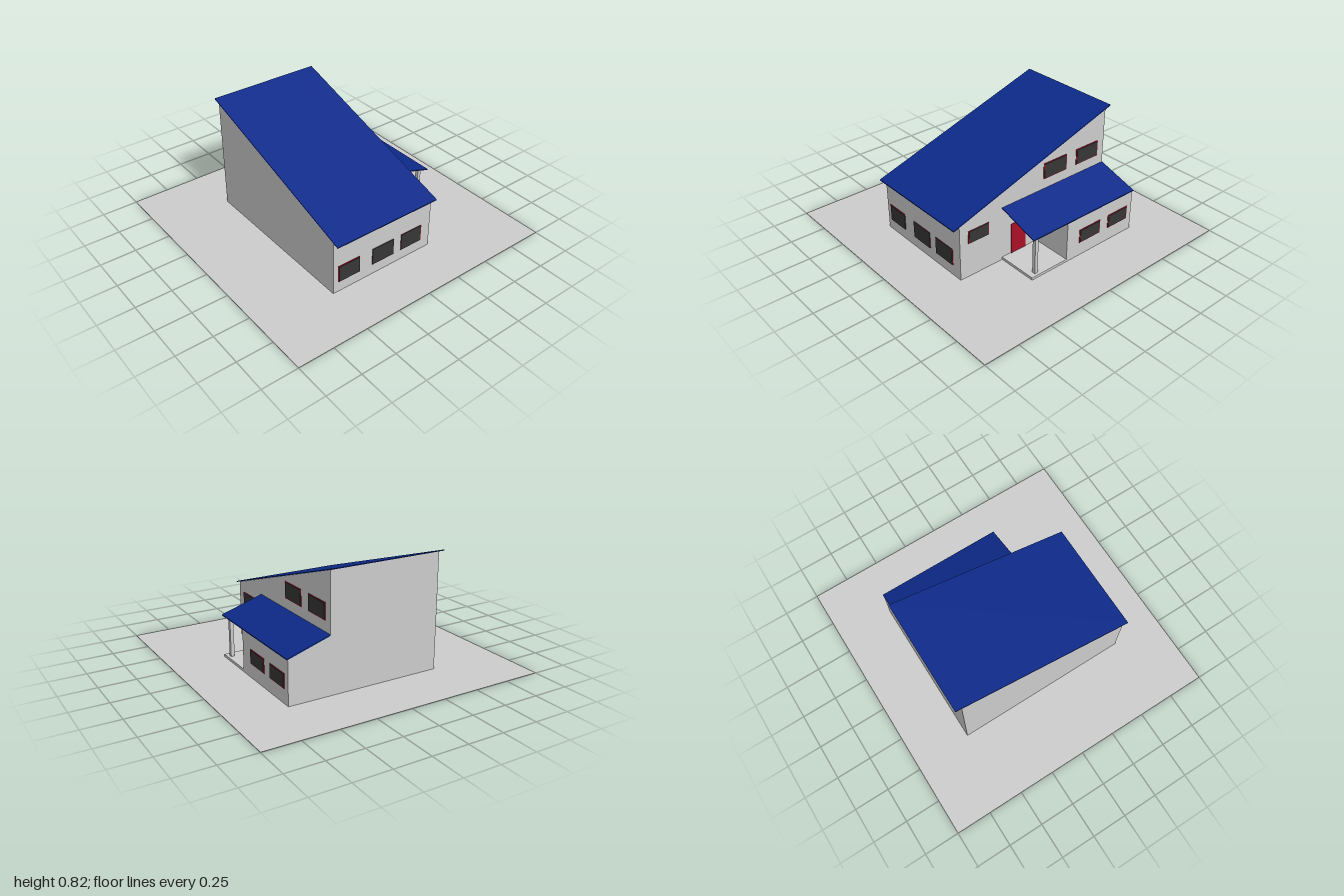
import * as THREE from 'three';

const mat = (name, color) => Object.assign(new THREE.MeshStandardMaterial({ color }), { name });

export function createModel() {
  const grey = mat('pale grey', 0xcccccc);
  const blue = mat('roof blue', 0x0d2a8a);
  const red = mat('trim red', 0xaa1026);
  const dark = mat('window grey', 0x363636);
  const model = new THREE.Group();
  model.name = 'house';

  const add = (parent, name, geo, material) => {
    const mesh = new THREE.Mesh(geo, material);
    mesh.name = name;
    parent.add(mesh);
    return mesh;
  };
  // Box given by its lower and upper limits on each axis
  const box = (parent, name, material, [x0, x1], [y0, y1], [z0, z1]) => {
    const mesh = add(parent, name, new THREE.BoxGeometry(x1 - x0, y1 - y0, z1 - z0), material);
    mesh.position.set((x0 + x1) / 2, (y0 + y1) / 2, (z0 + z1) / 2);
    return mesh;
  };
  const extrude = (points, depth) => new THREE.ExtrudeGeometry(
    new THREE.Shape(points.map(([a, b]) => new THREE.Vector2(a, b))), { depth, bevelEnabled: false });
  // Profile in (x, y), extruded from z0 to z1
  const alongZ = (name, material, points, z0, z1) =>
    add(model, name, extrude(points, z1 - z0).translate(0, 0, z0), material);
  // Profile in (z, y), extruded from x0 to x1
  const alongX = (name, material, points, x0, x1) =>
    add(model, name, extrude(points.map(([z, y]) => [-z, y]), x1 - x0)
      .rotateY(Math.PI / 2).translate(x0, 0, 0), material);

  box(model, 'ground', grey, [-1, 1], [0, 0.002], [-1, 1]);

  // Main block under a single-pitch roof
  alongX('mainWalls', grey, [[0.64, 0], [0.64, 0.4], [-0.605, 0.801], [-0.605, 0]], -0.475, 0.325);
  alongX('mainRoof', blue, [[0.685, 0.387], [0.685, 0.394], [-0.65, 0.823], [-0.65, 0.816]], -0.478, 0.328);

  // Side wing, porch and lean-to roof
  alongZ('wingWalls', grey, [[0.325, 0], [0.615, 0], [0.615, 0.303], [0.325, 0.394]], -0.605, 0);
  alongZ('wingRoof', blue, [[0.325, 0.394], [0.622, 0.301], [0.622, 0.308], [0.325, 0.401]], -0.608, 0.3);
  box(model, 'porchFloor', grey, [0.325, 0.615], [0, 0.02], [0, 0.3]);
  box(model, 'porchPost', grey, [0.57, 0.595], [0.02, 0.314], [0.234, 0.259]);
  box(model, 'door', red, [0.325, 0.33], [0.02, 0.245], [0.1, 0.225]);

  // Front windows: dark panes with red showing only on some edges
  const fronts = [[-0.44, -0.27, 0.007, 0, 0.006], [-0.165, 0.01, 0, 0, 0], [0.075, 0.25, 0, 0.007, 0]];
  for (const [x0, x1, left, right, top] of fronts) {
    const win = new THREE.Group();
    win.name = 'frontWindow';
    model.add(win);
    box(win, 'frame', red, [x0, x1], [0.08, 0.2], [0.64, 0.643]);
    box(win, 'pane', dark, [x0 + left, x1 - right], [0.08, 0.2 - top], [0.64, 0.646]);
  }

  // Side windows: wall x, z range, y range, frame widths across and up
  const sides = [
    [0.325, 0.41, 0.575, 0.252, 0.342, 0.007, 0.002],
    [0.325, -0.258, -0.052, 0.473, 0.588, 0.007, 0.005],
    [0.325, -0.548, -0.345, 0.473, 0.588, 0.007, 0.005],
    [0.615, -0.3, -0.11, 0.1, 0.2, 0.007, 0.005],
    [0.615, -0.56, -0.375, 0.1, 0.2, 0.007, 0.005],
  ];
  for (const [x, z0, z1, y0, y1, a, b] of sides) {
    const win = new THREE.Group();
    win.name = 'sideWindow';
    model.add(win);
    box(win, 'frame', red, [x, x + 0.003], [y0, y1], [z0, z1]);
    box(win, 'pane', dark, [x, x + 0.006], [y0 + b, y1 - b], [z0 + a, z1 - a]);
  }
  return model;
}
